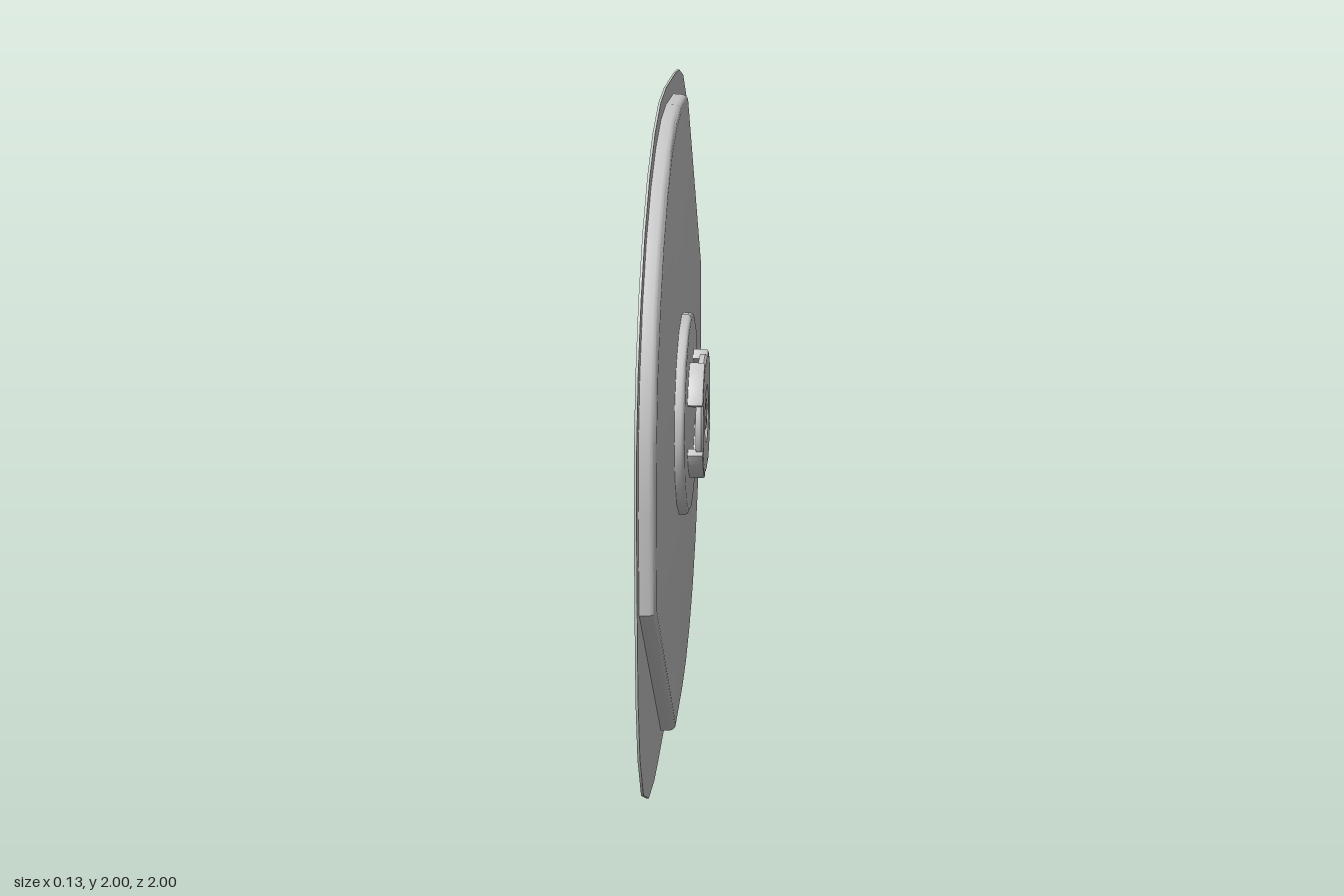
import * as THREE from 'three';
import { toCreasedNormals } from 'three/addons/utils/BufferGeometryUtils.js';

const material = new THREE.MeshStandardMaterial({ color: 0xcccccc });

// Adds the half turned by 180 degrees and makes the outline counter-clockwise
function mirrorHalf(half) {
  return [...half, ...half.map(([u, v]) => [-u, -v])].reverse();
}

// Quarter arc running clockwise from the right to the bottom
function quarterArc(radius, steps) {
  return Array.from({ length: steps }, (_, i) => {
    const a = -(i / steps) * Math.PI / 2;
    return [radius * Math.cos(a), radius * Math.sin(a)];
  });
}

// Closed solid from scaled copies of an outline; layers are [depth, scale]
function loft(outline, layers) {
  const n = outline.length, pos = [], idx = [];
  for (const [d, s] of layers) for (const [u, v] of outline) pos.push(u * s, v * s, d);
  const bottom = n * layers.length, top = bottom + 1, last = n * (layers.length - 1);
  pos.push(0, 0, layers[0][0], 0, 0, layers.at(-1)[0]);
  for (let i = 0; i < n; i++) {
    const j = (i + 1) % n;
    for (let k = 0; k < last; k += n) {
      idx.push(k + i, k + j, k + n + j, k + i, k + n + j, k + n + i);
    }
    idx.push(bottom, j, i, top, last + i, last + j);
  }
  const g = new THREE.BufferGeometry();
  g.setAttribute('position', new THREE.Float32BufferAttribute(pos, 3));
  g.setIndex(idx);
  return g.rotateY(Math.PI / 2);
}

// Turned part about the x axis; profile points are [radius, x]
function turned(profile, sides) {
  const pts = profile.map(([r, x]) => new THREE.Vector2(r, x));
  return new THREE.LatheGeometry(pts, sides).rotateZ(-Math.PI / 2);
}

export function createModel() {
  const model = new THREE.Group();
  const add = (name, geometry, crease = 0.7) => {
    const mesh = new THREE.Mesh(toCreasedNormals(geometry, crease), material);
    mesh.name = name;
    mesh.position.y = 1;
    model.add(mesh);
    return mesh;
  };

  // Thin backing plate: two round corners and two squarer ones
  const plate = mirrorHalf([
    [0.38, 1], [0.52, 0.993], [0.7, 0.955], [0.86, 0.86],
    [0.955, 0.7], [0.993, 0.52], [1, 0.38], ...quarterArc(1, 8), [0, -1],
  ]);
  add('backingPlate', loft(plate, [[-0.065, 1], [-0.058, 1]]));

  // Raised body with two cut corners and a rounded rim
  const body = mirrorHalf([
    [0.28, 0.947], [0.947, 0.28], ...quarterArc(0.952, 8), [0, -0.952],
  ]);
  add('raisedBody', loft(body, [
    [-0.06, 1], [-0.03, 0.998], [-0.02, 0.994], [-0.014, 0.987], [-0.012, 0.978],
  ]));

  // Round step under the hub
  add('hubDisc', turned([
    [0, -0.02], [0.315, -0.02], [0.315, 0.006], [0.311, 0.014], [0.302, 0.018], [0, 0.018],
  ], 16));

  // Cap carried on four legs, with a sunken ring and a centre button
  add('hubCap', turned([
    [0, 0.042], [0.184, 0.042], [0.184, 0.058], [0.178, 0.065], [0.09, 0.065],
    [0.082, 0.052], [0.058, 0.052], [0.056, 0.059], [0.045, 0.064], [0, 0.065],
  ], 24));

  // Curved legs in the diagonals
  const b = 0.006;
  for (let i = 0; i < 4; i++) {
    const mid = Math.PI / 4 + i * Math.PI / 2, half = 0.35;
    const shape = new THREE.Shape();
    shape.absarc(0, 0, 0.2 - b, mid - half, mid + half, false);
    shape.absarc(0, 0, 0.17 + b, mid + half, mid - half, true);
    shape.closePath();
    const leg = new THREE.ExtrudeGeometry(shape, {
      depth: 0.049, curveSegments: 5, bevelSize: b, bevelThickness: b, bevelSegments: 2,
    });
    leg.translate(0, 0, 0.01).rotateY(Math.PI / 2);
    add('hubLeg', leg);
  }
  return model;
}
